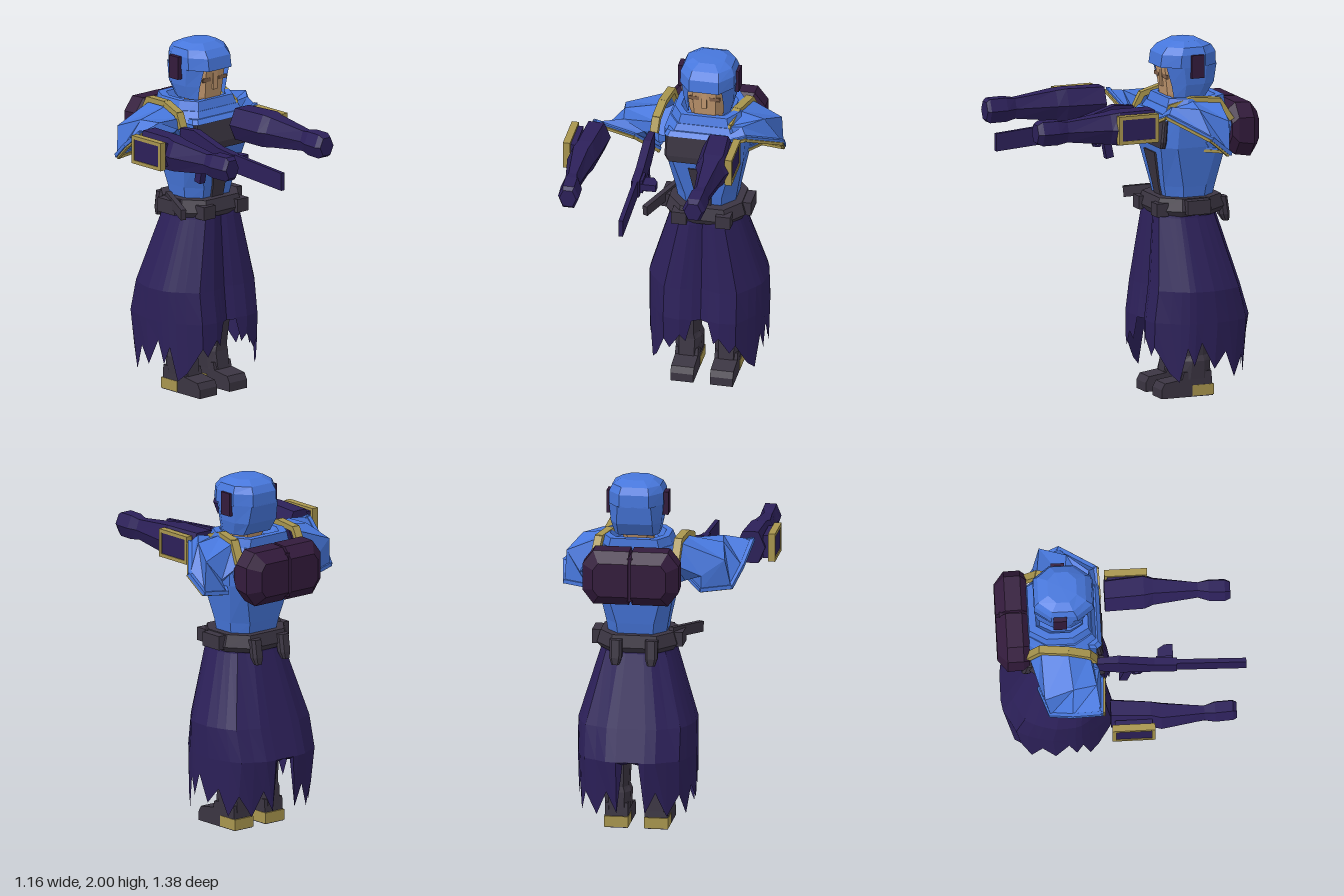
import * as THREE from 'three';

const mat = (name, color, side = THREE.FrontSide) =>
  Object.assign(new THREE.MeshStandardMaterial({ color, flatShading: true, side }), { name });
const BLUE = mat('blue cloth', 0x4777dc, THREE.DoubleSide);
const PURPLE = mat('deep purple cloth', 0x2c2059, THREE.DoubleSide);
const GOLD = mat('dull gold', 0xa8954e);
const GREY = mat('charcoal', 0x3b3542);
const PLUM = mat('dark plum', 0x331b3c);
const SKIN = mat('skin', 0xc0966e);
const BROWN = mat('eye brown', 0x80604a);

const CX = 0.15; // body centre line

// Skin a list of equal-length closed rings; caps optional, skip drops columns
function loft(rings, { caps = true, skip = [] } = {}) {
  const p = [], n = rings[0].length;
  const tri = (a, b, c) => p.push(...a, ...b, ...c);
  for (let i = 0; i < rings.length - 1; i++)
    for (let j = 0; j < n; j++) {
      if (skip.includes(j)) continue;
      const k = (j + 1) % n, A = rings[i], B = rings[i + 1];
      tri(A[j], A[k], B[k]);
      tri(A[j], B[k], B[j]);
    }
  if (caps) {
    const A = rings[0], B = rings[rings.length - 1];
    for (let j = 1; j < n - 1; j++) {
      tri(A[0], A[j + 1], A[j]);
      tri(B[0], B[j], B[j + 1]);
    }
    // turn the faces outwards if the volume came out negative
    let vol = 0;
    const [a, b, c] = [0, 1, 2].map(() => new THREE.Vector3());
    for (let i = 0; i < p.length; i += 9) {
      a.fromArray(p, i); b.fromArray(p, i + 3); c.fromArray(p, i + 6);
      vol += a.dot(b.cross(c));
    }
    if (vol < 0)
      for (let i = 0; i < p.length; i += 9)
        for (let k = 0; k < 3; k++) [p[i + 3 + k], p[i + 6 + k]] = [p[i + 6 + k], p[i + 3 + k]];
  }
  const g = new THREE.BufferGeometry();
  g.setAttribute('position', new THREE.Float32BufferAttribute(p, 3));
  g.computeVertexNormals();
  return g;
}

// Horizontal eight-sided ring; column 0 is the flat front
function ring(cx, y, hw, zf, zb, fx = 0.6, fz = 0.28) {
  const d = (zf - zb) * fz, q = hw * fx;
  return [[-q, zf], [q, zf], [hw, zf - d], [hw, zb + d], [q, zb], [-q, zb], [-hw, zb + d], [-hw, zf - d]]
    .map(([x, z]) => [cx + x, y, z]);
}
const hexZ = (z, cx, cy, w, h) =>
  [[-.5, 0], [-.27, .5], [.27, .5], [.5, 0], [.27, -.5], [-.27, -.5]].map(([x, y]) => [cx + x * w, cy + y * h, z]);
const rectZ = (z, x0, x1, y0, y1) => [[x0, y0, z], [x1, y0, z], [x1, y1, z], [x0, y1, z]];

export function createModel() {
  const root = new THREE.Group();
  const add = (name, geo, m) => {
    const o = new THREE.Mesh(geo, m);
    o.name = name;
    root.add(o);
    return o;
  };
  // Box given by its limits on each axis
  const box = (name, m, x0, x1, y0, y1, z0, z1) => {
    const o = add(name, new THREE.BoxGeometry(x1 - x0, y1 - y0, z1 - z0), m);
    o.position.set((x0 + x1) / 2, (y0 + y1) / 2, (z0 + z1) / 2);
    return o;
  };
  // Rectangular bars along a list of points
  const trim = (name, pts, w, h, m) => {
    for (let i = 0; i < pts.length - 1; i++) {
      const a = new THREE.Vector3(...pts[i]), b = new THREE.Vector3(...pts[i + 1]);
      const o = add(name, new THREE.BoxGeometry(w, h, a.distanceTo(b) + 0.01), m);
      o.position.copy(a).add(b).multiplyScalar(0.5);
      o.lookAt(b);
    }
  };

  // Head
  add('face', loft([ring(CX, 1.58, .06, -.24, -.36), ring(CX, 1.64, .08, -.21, -.38),
    ring(CX, 1.70, .10, -.20, -.40), ring(CX, 1.87, .115, -.178, -.42)]), SKIN);
  for (const s of [-1, 1]) {
    box('eye', BROWN, CX + s * .06 - .03, CX + s * .06 + .03, 1.79, 1.812, -.192, -.184);
    box('earGuard', PLUM, CX + s * .153 - .02, CX + s * .153 + .02, 1.80, 1.93, -.375, -.30);
  }
  box('nose', SKIN, CX - .014, CX + .014, 1.74, 1.86, -.195, -.18);
  const H = CX + .005;
  add('helmetDome', loft([ring(H, 1.86, .12, -.20, -.44), ring(H, 1.86, .153, -.145, -.48, .55),
    ring(H, 1.93, .152, -.155, -.478, .55), ring(H, 1.97, .135, -.19, -.455, .55),
    ring(H, 1.998, .09, -.24, -.40, .5), ring(H, 2.0, .005, -.32, -.33)]), BLUE);
  add('helmetSides', loft([ring(H, 1.685, .125, -.22, -.41, .78), ring(H, 1.76, .143, -.205, -.46, .7),
    ring(H, 1.865, .152, -.175, -.48, .62)], { caps: false, skip: [0] }), BLUE);

  // Torso and collar
  add('torso', loft([ring(CX, 1.10, .16, -.18, -.45), ring(CX, 1.19, .175, -.16, -.47),
    ring(CX, 1.42, .22, -.115, -.51, .75, .2), ring(CX, 1.58, .23, -.125, -.515, .75, .2),
    ring(CX, 1.64, .21, -.16, -.51, .7)]), BLUE);
  add('collar', loft([ring(CX, 1.60, .215, -.15, -.515, .7), ring(CX, 1.69, .185, -.18, -.51, .7),
    ring(CX, 1.69, .15, -.21, -.47, .7), ring(CX, 1.62, .11, -.22, -.44, .7)], { caps: false }), BLUE);
  add('chestPanel', loft([ring(CX, 1.42, .19, -.105, -.135, .95), ring(CX, 1.46, .21, -.10, -.135, .95),
    ring(CX, 1.58, .205, -.115, -.145, .95)]), GREY);
  add('chestTrim', loft([ring(CX, 1.58, .215, -.108, -.2, .9), ring(CX, 1.605, .20, -.13, -.2, .9)]), BLUE);
  add('bellyPanel', loft([[1.12, .045, -.165], [1.20, .048, -.148], [1.38, .08, -.113]]
    .map(([y, w, z]) => ring(CX, y, w, z, z - .05, .95))), GREY);

  // Belt with pouches and a sheathed blade
  add('belt', loft([ring(CX, 1.03, .205, -.12, -.49), ring(CX, 1.06, .225, -.105, -.51),
    ring(CX, 1.13, .205, -.125, -.495)]), GREY);
  for (const s of [-1, 1]) {
    box('frontPouch', GREY, CX + s * .125 - .042, CX + s * .125 + .042, 1.03, 1.105, -.16, -.09);
    box('sidePouch', GREY, CX + s * .225 - .03, CX + s * .225 + .03, 1.045, 1.125, -.38, -.24);
    add('backPouch', loft([ring(CX + s * .1, .97, .022, -.515, -.55), ring(CX + s * .1, 1.01, .035, -.49, -.55),
      ring(CX + s * .1, 1.11, .035, -.475, -.535)]), GREY);
  }
  trim('sheath', [[-.165, 1.09, -.10], [-.04, 1.12, -.36]], .03, .06, GREY);

  // Ragged skirt: half outline from front to back as x share, z share, hem height
  const half = [[0, .86, .43], [.14, .94, .43], [.24, .97, .3], [.34, 1, .34], [.52, .97, .25], [.62, .95, .3],
    [.78, .72, .16], [.88, .56, .11], [.95, .42, .3], [.98, .3, .2], [.99, .15, .33], [1, -.1, .18], [.95, -.35, .27],
    [.89, -.55, .12], [.8, -.75, .24], [.6, -.86, .12], [.42, -.97, .26], [.24, -1, .14], [.14, -1, .42], [0, -1, .43]];
  const outline = [...half, ...half.slice(1, -1).reverse().map(([x, z, h]) => [-x, z, h])];
  const skirtRing = (y, hw, zf, zb) => outline.map(([x, z, h]) =>
    [CX + hw * x, y ?? h, (zf + zb) / 2 + (zf - zb) / 2 * z]);
  add('skirt', loft([skirtRing(1.05, .205, -.115, -.48), skirtRing(1.02, .21, -.11, -.485),
    skirtRing(.62, .333, -.07, -.61), skirtRing(.44, .333, -.045, -.665),
    skirtRing(null, .328, -.045, -.635)], { caps: false }), PURPLE);

  // Legs and boots
  const bootShape = new THREE.Shape([[-.115, 0], [-.115, .05], [-.135, .085], [-.24, .10], [-.25, .14],
    [-.415, .14], [-.425, 0]].map(([z, y]) => new THREE.Vector2(z, y)));
  for (const s of [-1, 1]) {
    const x = CX + s * .112;
    add('leg', loft([ring(x, .10, .07, -.235, -.42), ring(x, .20, .075, -.25, -.415), ring(x, .23, .062, -.25, -.41),
      ring(x + s * .005, .45, .075, -.23, -.41), ring(x, .98, .09, -.2, -.42)]), GREY);
    const boot = new THREE.ExtrudeGeometry(bootShape, { depth: .13, bevelEnabled: false });
    boot.translate(0, 0, -.065).rotateY(-Math.PI / 2);
    add('boot', boot, GREY).position.x = x;
    box('heel', GOLD, x - .068, x + .068, 0.005, .065, -.43, -.30);
  }

  // Backpack in two chamfered halves
  for (const s of [-1, 1]) {
    const slice = (z, out, y0, y1, c) => [[.008, y0], [out - c, y0], [out, y0 + c * 1.3], [out, y1 - c * 1.3],
      [out - c, y1], [.008, y1]].map(([x, y]) => [CX + s * x, y, z]);
    add('backpack', loft([slice(-.51, .255, 1.40, 1.62, .06), slice(-.545, .27, 1.36, 1.655, .06),
      slice(-.635, .27, 1.345, 1.65, .06), slice(-.69, .205, 1.40, 1.59, .03)]), PLUM);
  }
  box('backpackStrap', PLUM, CX - .015, CX + .015, 1.37, 1.62, -.67, -.51);

  // Shoulder sleeves: seam ring, middle ring, open hem ring
  const sleeves = [
    [[[.26, 1.50, -.16], [.28, 1.64, -.18], [.32, 1.68, -.30], [.36, 1.67, -.45], [.38, 1.55, -.515], [.34, 1.40, -.40]],
      [[.28, 1.60, -.13], [.37, 1.66, -.16], [.47, 1.655, -.28], [.54, 1.59, -.43], [.46, 1.48, -.47], [.33, 1.41, -.32]],
      [[.25, 1.56, -.12], [.40, 1.615, -.125], [.565, 1.50, -.32], [.55, 1.41, -.43], [.42, 1.40, -.465], [.28, 1.41, -.25]]],
    [[[-.10, 1.50, -.16], [-.11, 1.62, -.18], [-.10, 1.67, -.30], [-.08, 1.67, -.45], [-.08, 1.55, -.515], [-.04, 1.40, -.40]],
      [[-.18, 1.58, -.13], [-.30, 1.635, -.15], [-.32, 1.63, -.28], [-.35, 1.57, -.44], [-.22, 1.48, -.47], [-.11, 1.41, -.32]],
      [[-.235, 1.56, -.12], [-.46, 1.61, -.13], [-.425, 1.50, -.29], [-.38, 1.41, -.41], [-.22, 1.40, -.465], [-.12, 1.41, -.25]]]];
  const stripeEnds = [[.275, .37], [-.125, -.085]];
  sleeves.forEach(([seam, mid, edge], i) => {
    add('shoulderSleeve', loft([seam, mid, edge], { caps: false }), BLUE);
    // Blue rim, with a gold hem on its forward and lower face
    trim('sleeveRim', [...edge, edge[0]], .022, .022, BLUE);
    const hem = edge.map(([x, y, z]) => [x, y - .008, z + .013]);
    trim('sleeveHem', [...hem, hem[0]], .016, .016, GOLD);
    const [f, b] = stripeEnds[i];
    trim('shoulderStripe', [[0, 1.575, -.15], [.12, 1.645, -.185], [.4, 1.682, -.30], [.82, 1.675, -.45],
      [1, 1.57, -.515]].map(([t, y, z]) => [f + (b - f) * t, y, z]), .045, .03, GOLD);
  });

  // Forearms and fists: z, centre x, width, height
  const arms = [
    [.36, 1, [[-.08, .258, .19, .18], [.14, .272, .205, .185], [.19, .27, .16, .17], [.44, .265, .09, .115],
      [.50, .26, .125, .135], [.59, .257, .13, .135], [.62, .257, .10, .10]]],
    [-.558, -1, [[-.08, -.44, .165, .18], [.14, -.455, .15, .185], [.20, -.468, .155, .17], [.44, -.463, .085, .115],
      [.50, -.458, .12, .135], [.60, -.453, .118, .135], [.62, -.453, .095, .10]]]];
  for (const [x, s, rows] of arms) {
    add('forearm', loft(rows.map(([z, cx, w, h]) => hexZ(z, cx, 1.55, w, h))), PURPLE);
    // Bracer plate with its frame on the outer side
    box('bracerPlate', PURPLE, ...[x - s * .05, x + s * .015].sort((a, b) => a - b), 1.485, 1.615, -.06, .15);
    for (const y of [1.48, 1.62]) box('bracerFrame', GOLD, x - .02, x + .02, y - .01, y + .01, -.075, .163);
    for (const z of [-.065, .153]) box('bracerFrame', GOLD, x - .02, x + .02, 1.48, 1.62, z - .01, z + .01);
  }

  // Gun
  add('barrel', loft([rectZ(.25, -.15, -.125, 1.415, 1.52), rectZ(.69, -.15, -.125, 1.385, 1.485)]), PURPLE);
  add('receiver', loft([rectZ(-.14, -.155, -.12, 1.47, 1.58), rectZ(-.02, -.16, -.115, 1.44, 1.59),
    rectZ(.18, -.16, -.115, 1.425, 1.53), rectZ(.305, -.16, -.115, 1.415, 1.515)]), PURPLE);
  add('magazine', loft([rectZ(.2, -.13, -.05, 1.45, 1.49), rectZ(.24, -.13, -.025, 1.45, 1.49),
    rectZ(.285, -.13, -.025, 1.45, 1.49)]), PURPLE);
  box('magazineWell', PURPLE, -.12, -.10, 1.43, 1.51, .19, .28);
  trim('grip', [[-.137, 1.45, .035], [-.137, 1.30, .005]], .04, .045, PURPLE);
  trim('triggerGuard', [[-.137, 1.43, .13], [-.137, 1.37, .095], [-.137, 1.365, .065], [-.137, 1.42, .04]], .02, .012, PURPLE);

  return root;
}
